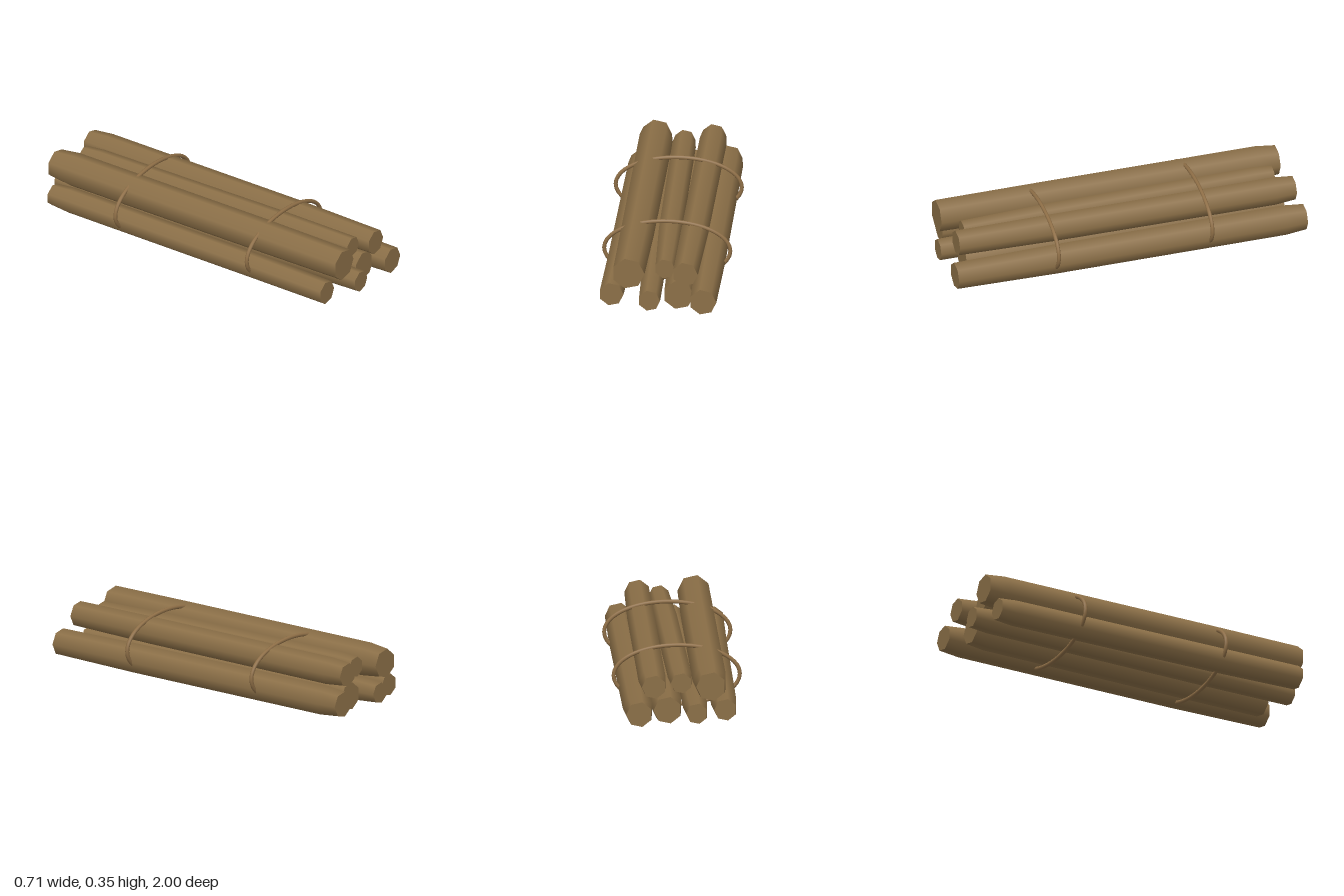
import * as THREE from 'three';

const SIDES = 7;
// Rings from the front end (t = 0) to the back end (t = 1)
const RING_T = [0, 0.28, 0.94, 1];

// Seven-sided log: r0/x0 at the front end, r1/x1 for the thicker leaning body
function logGeometry({ y, x0, r0, x1, r1, front, back }) {
  const radii = [r0, r1 * 0.985, r1, r1 * 0.86];
  const centres = [x0, x0 + (x1 - x0) * 0.45, x1, x1];
  const geo = new THREE.CylinderGeometry(1, 1, 1, SIDES, 3, false, Math.PI / 2);
  geo.rotateX(Math.PI / 2);
  const p = geo.attributes.position;
  for (let i = 0; i < p.count; i++) {
    const ring = Math.round((0.5 - p.getZ(i)) * 3);
    p.setXYZ(
      i,
      centres[ring] + p.getX(i) * radii[ring],
      y + p.getY(i) * radii[ring],
      front + (back - front) * RING_T[ring]
    );
  }
  return geo;
}

// Oval hoop around the bundle
class Oval extends THREE.Curve {
  getPoint(t, target = new THREE.Vector3()) {
    const a = t * Math.PI * 2;
    return target.set(0.344 * Math.cos(a), 0.178 + 0.166 * Math.sin(a), 0);
  }
}

export function createModel() {
  const group = new THREE.Group();
  group.name = 'logBundle';
  const wood = new THREE.MeshStandardMaterial({ color: 0x8b6f47 });
  wood.name = 'wood';
  const cord = new THREE.MeshStandardMaterial({ color: 0x8f6f47 });
  cord.name = 'cord';

  const upper = 0.255, lower = 0.111;
  const logs = [
    { name: 'upperRightLog', y: upper, x0: -0.175, r0: 0.089, x1: -0.157, r1: 0.095, front: 0.97, back: -0.97 },
    { name: 'upperMiddleLog', y: upper, x0: 0.019, r0: 0.056, x1: 0.001, r1: 0.067, front: 0.89, back: -0.895 },
    { name: 'upperLeftLog', y: upper, x0: 0.134, r0: 0.07, x1: 0.155, r1: 0.077, front: 0.96, back: -0.965 },
    { name: 'lowerOuterRightLog', y: lower, x0: -0.271, r0: 0.067, x1: -0.237, r1: 0.072, front: 0.925, back: -0.93 },
    { name: 'lowerInnerRightLog', y: lower, x0: -0.059, r0: 0.06, x1: -0.078, r1: 0.068, front: 1, back: -1 },
    { name: 'lowerInnerLeftLog', y: lower, x0: 0.095, r0: 0.084, x1: 0.078, r1: 0.089, front: 0.91, back: -0.92 },
    { name: 'lowerOuterLeftLog', y: lower, x0: 0.234, r0: 0.074, x1: 0.236, r1: 0.083, front: 1, back: -1 },
  ];
  for (const spec of logs) {
    const mesh = new THREE.Mesh(logGeometry(spec), wood);
    mesh.name = spec.name;
    group.add(mesh);
  }

  // Two binding hoops
  const hoop = new THREE.TubeGeometry(new Oval(), 64, 0.011, 8, true);
  for (const [name, z] of [['frontHoop', 0.44], ['backHoop', -0.44]]) {
    const mesh = new THREE.Mesh(hoop, cord);
    mesh.name = name;
    mesh.position.z = z;
    group.add(mesh);
  }
  return group;
}
